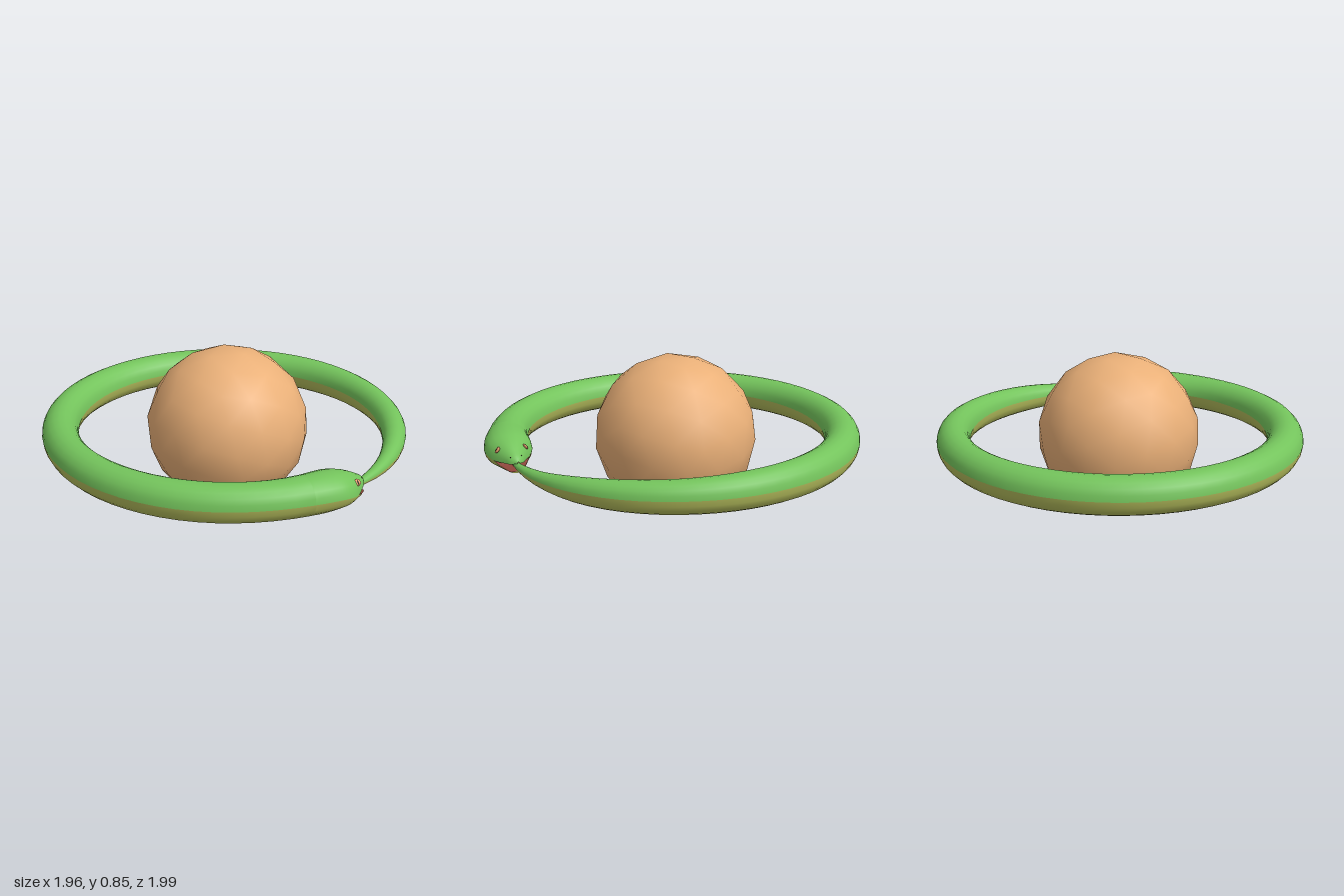
import * as THREE from 'three';

// Body stations: angle from snout (deg), half width, top, upper lip, lower lip, bottom
const STATIONS = [
  [1.3, 0.005, 0.430, 0.422, 0.376, 0.370],
  [2.2, 0.030, 0.447, 0.418, 0.376, 0.368],
  [4.5, 0.054, 0.471, 0.415, 0.385, 0.366],
  [6.5, 0.074, 0.489, 0.413, 0.396, 0.363],
  [8.5, 0.093, 0.504, 0.413, 0.413, 0.359],
  [10.5, 0.109, 0.515, 0.419, 0.419, 0.353],
  [13.5, 0.123, 0.527, 0.430, 0.430, 0.346],
  [18, 0.122, 0.534, 0.437, 0.437, 0.341],
  [24, 0.111, 0.535, 0.438, 0.438, 0.340],
  [34, 0.100, 0.535, 0.438, 0.438, 0.340],
  [60, 0.097, 0.535, 0.438, 0.438, 0.340],
  [180, 0.097, 0.535, 0.438, 0.438, 0.340],
  [225, 0.094, 0.534, 0.438, 0.438, 0.340],
  [270, 0.087, 0.528, 0.436, 0.436, 0.340],
  [297, 0.078, 0.513, 0.433, 0.433, 0.341],
  [318, 0.069, 0.495, 0.427, 0.427, 0.343],
  [333, 0.056, 0.474, 0.420, 0.420, 0.350],
  [347, 0.038, 0.446, 0.410, 0.410, 0.367],
  [360, 0.022, 0.424, 0.405, 0.405, 0.385],
  [365, 0.014, 0.416, 0.403, 0.403, 0.391],
];

// Linear blend between neighbouring stations with eased tangents
const spline = new THREE.CubicInterpolant(
  STATIONS.map((s) => s[0]), STATIONS.flatMap((s) => s.slice(1)), 5, new Float32Array(5));

function station(deg) {
  const [w, top, upper, lower, bottom] = Array.from(spline.evaluate(deg));
  const a = THREE.MathUtils.degToRad(deg);
  const out = new THREE.Vector3(-Math.sin(a), 0, Math.cos(a));
  const centre = out.clone().multiplyScalar(0.889 + 0.012 * Math.cos(a) ** 2);
  return { w, top, upper, lower, bottom, out, centre };
}

// Point on the skin; phi 0 = outer side, PI/2 = top, 3PI/2 = underside
function skin(deg, phi) {
  const s = station(deg);
  const above = phi <= Math.PI;
  const base = above ? s.upper : s.lower;
  const h = above ? s.top - s.upper : s.lower - s.bottom;
  const p = s.centre.clone().addScaledVector(s.out, s.w * Math.cos(phi));
  p.y = base + h * Math.sin(phi);
  const n = s.out.clone().multiplyScalar(Math.cos(phi) / s.w);
  n.y = Math.sin(phi) / h;
  return { p, n: n.normalize() };
}

// Surface through rows of points
function loft(rows) {
  const cols = rows[0].length;
  const index = [];
  for (let i = 0; i < rows.length - 1; i++) {
    for (let j = 0; j < cols - 1; j++) {
      const a = i * cols + j, b = a + 1, c = a + cols, d = c + 1;
      index.push(a, b, c, b, d, c);
    }
  }
  const geo = new THREE.BufferGeometry().setFromPoints(rows.flat());
  geo.setIndex(index);
  geo.computeVertexNormals();
  return geo;
}

function mat(color) {
  return new THREE.MeshStandardMaterial({ color, side: THREE.DoubleSide });
}

function add(parent, name, geo, material) {
  const mesh = new THREE.Mesh(geo, material);
  mesh.name = name;
  parent.add(mesh);
  return mesh;
}

export function createModel() {
  const model = new THREE.Group();
  model.name = 'snakeRingAndGlobe';
  const green = mat(0x74c45c), olive = mat(0xb4bd5c), tan = mat(0xeab078);
  const mouthRed = mat(0x8a4238), eyeOrange = mat(0xe8a070), dark = mat(0x2a1a14);

  // Faceted-outline globe with smooth shading
  const globe = add(model, 'globe', new THREE.IcosahedronGeometry(0.436, 2), tan);
  globe.position.set(0.005, 0.436, 0);
  globe.rotation.set(0.25, 0.4, 0.15);

  const snake = new THREE.Group();
  snake.name = 'snake';
  model.add(snake);

  // Fine steps over the head, coarser round the body
  const angles = [];
  for (let d = 1.3; d < 24; d += 0.9) angles.push(d);
  for (let d = 24; d <= 365; d += 5.5) angles.push(d);
  angles.push(365);

  // Green back and olive belly, each half of the cross-section
  const half = (list, start) => loft(list.map((d) =>
    Array.from({ length: 11 }, (_, j) => skin(d, start + (j / 10) * Math.PI).p)));
  add(snake, 'back', half(angles, 0), green);
  const jawAngles = angles.filter((d) => d > 2);
  add(snake, 'belly', half(jawAngles, Math.PI + 1e-6), olive);

  // Inside of the open mouth
  const lining = (key, list) => loft(list.map((d) => {
    const s = station(d);
    return [-1, 0, 1].map((k) => {
      const p = s.centre.clone().addScaledVector(s.out, k * s.w);
      p.y = s[key];
      return p;
    });
  }));
  const mouthAngles = angles.filter((d) => d < 10);
  add(snake, 'mouthRoof', lining('upper', mouthAngles), mouthRed);
  add(snake, 'mouthFloor', lining('lower', mouthAngles.filter((d) => d > 2)), mouthRed);

  // Eyes and nostrils on both sides of the head
  const ball = new THREE.SphereGeometry(1, 16, 10);
  for (const [side, mirror] of [['right', (p) => p], ['left', (p) => Math.PI - p]]) {
    const place = (name, deg, phi) => {
      const { p, n } = skin(deg, mirror(phi));
      const g = new THREE.Group();
      g.name = name;
      g.position.copy(p);
      g.lookAt(p.clone().add(n));
      snake.add(g);
      return g;
    };
    const eye = place(side + 'Eye', 8.4, 0.66);
    add(eye, 'eyeball', ball, eyeOrange).scale.set(0.021, 0.017, 0.007);
    const pupil = add(eye, 'pupil', ball, dark);
    pupil.scale.set(0.004, 0.013, 0.003);
    pupil.position.z = 0.0055;
    const nostril = place(side + 'Nostril', 3.4, 0.85);
    add(nostril, 'nostrilHole', ball, dark).scale.set(0.005, 0.003, 0.002);
  }
  return model;
}
